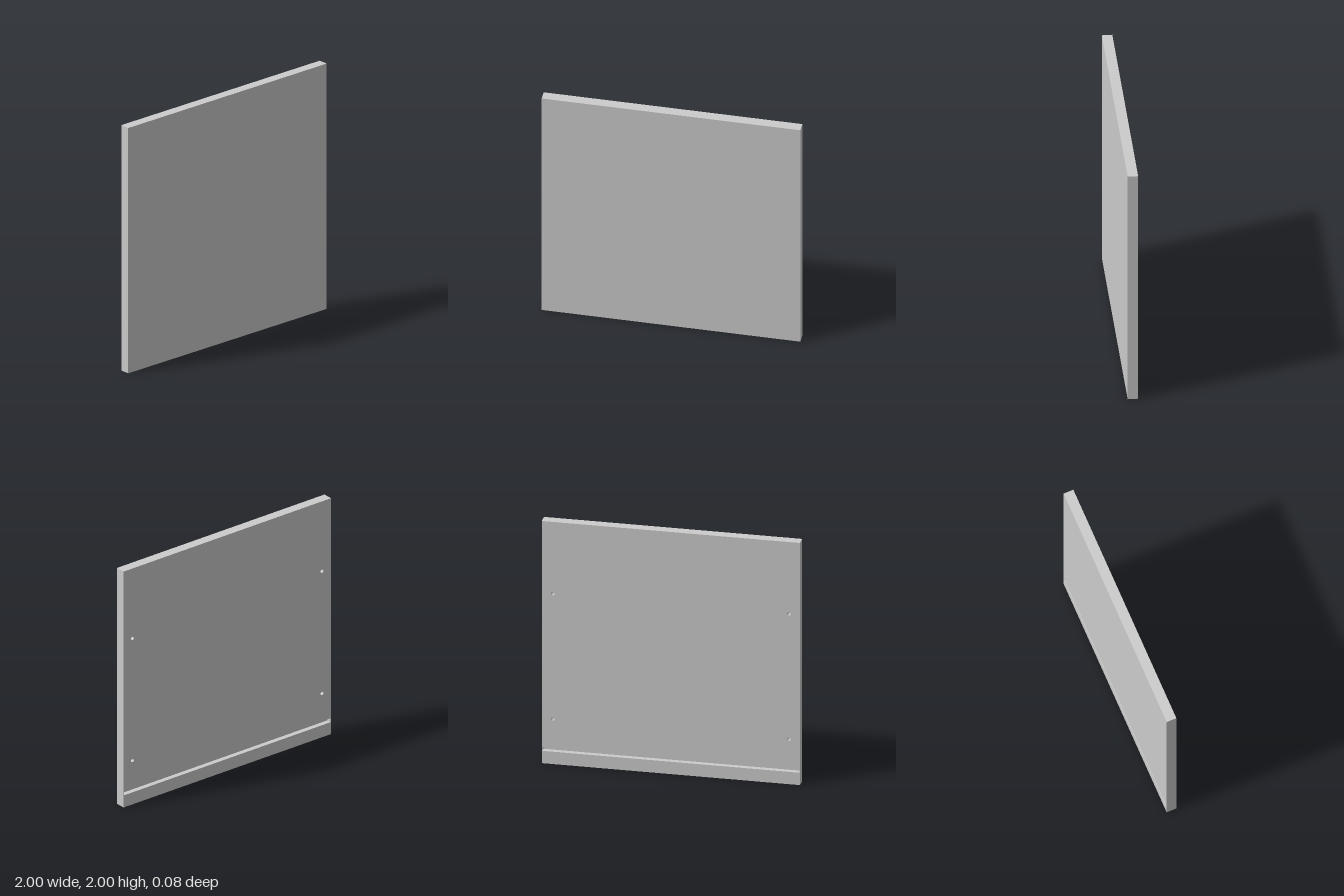
import * as THREE from 'three';

const SIZE = 2, THICK = 0.08, BACK = -THICK / 2;
const GROOVE = { width: 1.992, y: 0.119, height: 0.034, depth: 0.04 };
const HOLE = { r: 0.014, depth: 0.045, x: 0.914, ys: [0.372, 1.408], sides: 24 };

const material = new THREE.MeshStandardMaterial({ color: 0xcccccc });

function addMesh(group, name, geometry, x = 0, y = 0, z = 0) {
  const mesh = new THREE.Mesh(geometry, material);
  mesh.name = name;
  mesh.position.set(x, y, z);
  group.add(mesh);
}

// Box without its rear (-z) face
function openBox(w, h, d) {
  const g = new THREE.BoxGeometry(w, h, d);
  g.setIndex(Array.from(g.index.array).slice(0, 30));
  g.clearGroups();
  return g;
}

// Mirror a symmetric shell so that its faces point inward
function inward(g) {
  g.scale(-1, 1, 1);
  g.computeVertexNormals();
  return g;
}

export function createModel() {
  const group = new THREE.Group();
  group.name = 'panel';

  // Front face and four edges
  addMesh(group, 'panelBody', openBox(SIZE, SIZE, THICK), 0, SIZE / 2, 0);

  // Back face, cut out for the groove and the four screw holes
  const face = new THREE.Shape([[-1, 0], [1, 0], [1, 2], [-1, 2]].map(p => new THREE.Vector2(...p)));
  const gw = GROOVE.width / 2, gh = GROOVE.height / 2;
  face.holes.push(new THREE.Path([[-gw, -gh], [-gw, gh], [gw, gh], [gw, -gh]]
    .map(([x, y]) => new THREE.Vector2(x, GROOVE.y + y))));
  const centres = [-1, 1].flatMap(s => HOLE.ys.map(y => [s * HOLE.x, y]));
  for (const [x, y] of centres) {
    face.holes.push(new THREE.Path().absarc(x, y, HOLE.r, 0, Math.PI * 2, true));
  }
  addMesh(group, 'backFace', new THREE.ShapeGeometry(face, HOLE.sides / 2).rotateY(Math.PI), 0, 0, BACK);

  // Groove for the bottom board, closed at both ends
  addMesh(group, 'groove', inward(openBox(GROOVE.width, GROOVE.height, GROOVE.depth)),
    0, GROOVE.y, BACK + GROOVE.depth / 2);

  // Blind screw holes
  for (const [x, y] of centres) {
    const wall = new THREE.CylinderGeometry(HOLE.r, HOLE.r, HOLE.depth, HOLE.sides, 1, true);
    addMesh(group, 'screwHoleWall', inward(wall.rotateX(Math.PI / 2)), x, y, BACK + HOLE.depth / 2);
    addMesh(group, 'screwHoleFloor', new THREE.CircleGeometry(HOLE.r, HOLE.sides).rotateY(Math.PI),
      x, y, BACK + HOLE.depth);
  }
  return group;
}
